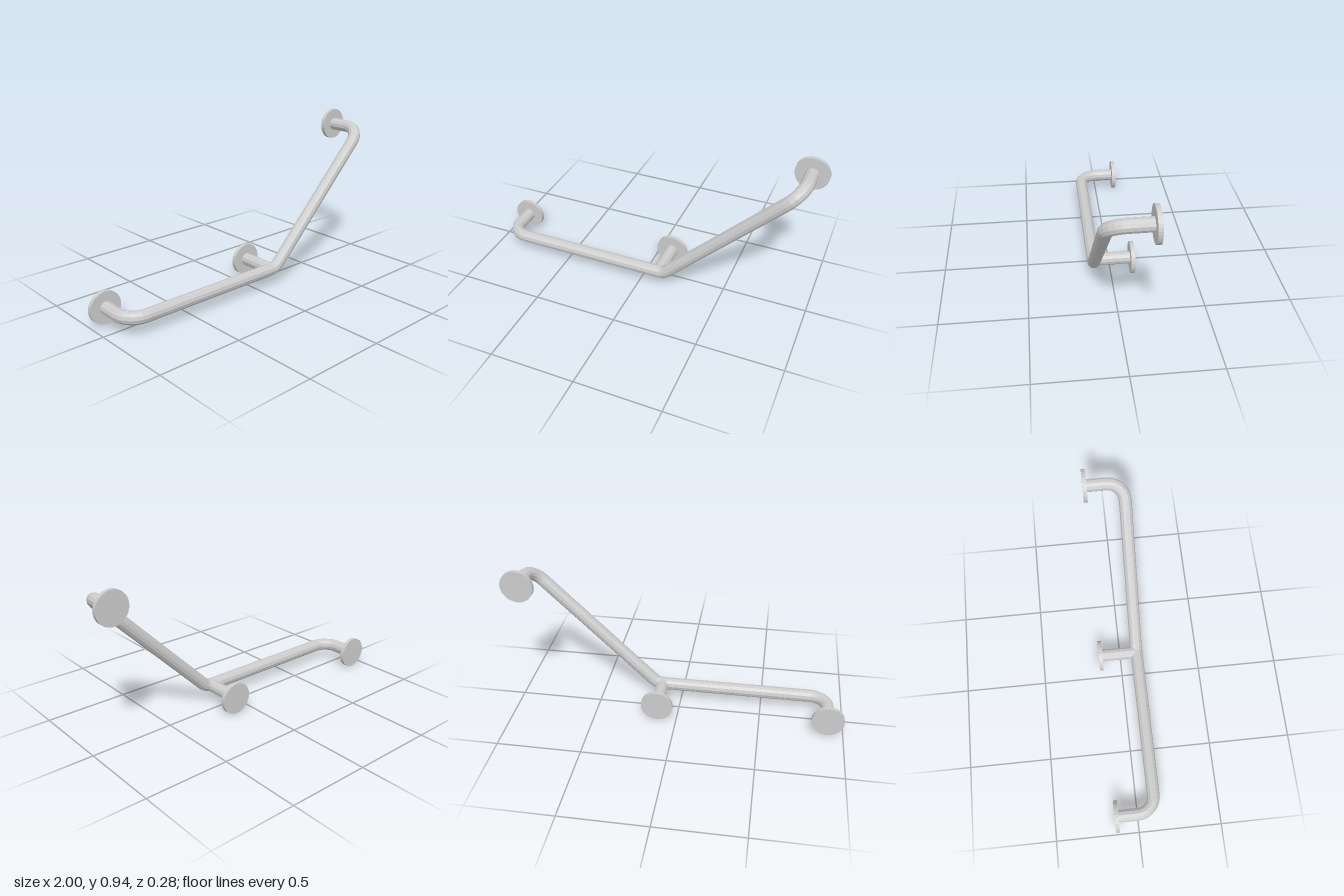
import * as THREE from 'three';

const V = (x, y, z) => new THREE.Vector3(x, y, z);
const TUBE_R = 0.038, SIDES = 12;
const WALL_Z = -0.14, PLATE_T = 0.024, PLATE_R = 0.096, RAIL_Z = 0.105;

// Curve that steps exactly through given stations (point + tangent)
class StationCurve extends THREE.Curve {
  constructor(stations) {
    super();
    this.stations = stations;
  }
  at(u) { return this.stations[Math.round(u * (this.stations.length - 1))]; }
  getPointAt(u, target = V(0, 0, 0)) { return target.copy(this.at(u).point); }
  getTangentAt(u, target = V(0, 0, 0)) { return target.copy(this.at(u).tangent); }
  getPoint(u, target) { return this.getPointAt(u, target); }
}

// Straight runs joined by circular bends at each inner corner
function bentPath(corners, radii, steps) {
  const dir = i => corners[i + 1].clone().sub(corners[i]).normalize();
  const stations = [{ point: corners[0], tangent: dir(0) }];
  for (let i = 1; i < corners.length - 1; i++) {
    const a = dir(i - 1), b = dir(i), angle = a.angleTo(b), r = radii[i - 1];
    const start = corners[i].clone().addScaledVector(a, -r * Math.tan(angle / 2));
    const inward = b.clone().addScaledVector(a, -a.dot(b)).normalize();
    for (let k = 0; k <= steps[i - 1]; k++) {
      const t = angle * k / steps[i - 1];
      stations.push({
        point: start.clone().addScaledVector(a, r * Math.sin(t)).addScaledVector(inward, r * (1 - Math.cos(t))),
        tangent: a.clone().multiplyScalar(Math.cos(t)).addScaledVector(inward, Math.sin(t)),
      });
    }
  }
  const n = corners.length;
  stations.push({ point: corners[n - 1], tangent: dir(n - 2) });
  return new StationCurve(stations);
}

export function createModel() {
  const group = new THREE.Group();
  const material = new THREE.MeshStandardMaterial({ color: 0xcccccc, flatShading: true });
  const add = (name, geometry) => {
    const mesh = new THREE.Mesh(geometry, material);
    mesh.name = name;
    group.add(mesh);
    return mesh;
  };

  const mounts = {
    right: V(-0.904, 0.097, 0),
    middle: V(0.118, 0.097, 0),
    left: V(0.904, 0.85, 0),
  };
  const plateFront = WALL_Z + PLATE_T;

  // Continuous rail: out from the wall, across, up the slope, back to the wall
  const { right, left } = mounts;
  const path = bentPath([
    V(right.x, right.y, plateFront),
    V(right.x, right.y, RAIL_Z),
    V(0.151, right.y, RAIL_Z),
    V(left.x, left.y, RAIL_Z),
    V(left.x, left.y, plateFront),
  ], [0.105, 0.09, 0.105], [6, 4, 6]);
  add('rail', new THREE.TubeGeometry(path, path.stations.length - 1, TUBE_R, SIDES, false));

  // Post behind the elbow
  const postLength = RAIL_Z - plateFront;
  const post = new THREE.CylinderGeometry(TUBE_R, TUBE_R, postLength, SIDES, 1, true).rotateX(Math.PI / 2);
  add('middlePost', post).position.set(mounts.middle.x, mounts.middle.y, plateFront + postLength / 2);

  // Round wall plates
  for (const [side, p] of Object.entries(mounts)) {
    const plate = new THREE.CylinderGeometry(PLATE_R, PLATE_R, PLATE_T, 32).rotateX(Math.PI / 2);
    add(side + 'WallPlate', plate).position.set(p.x, p.y, WALL_Z + PLATE_T / 2);
  }
  return group;
}
